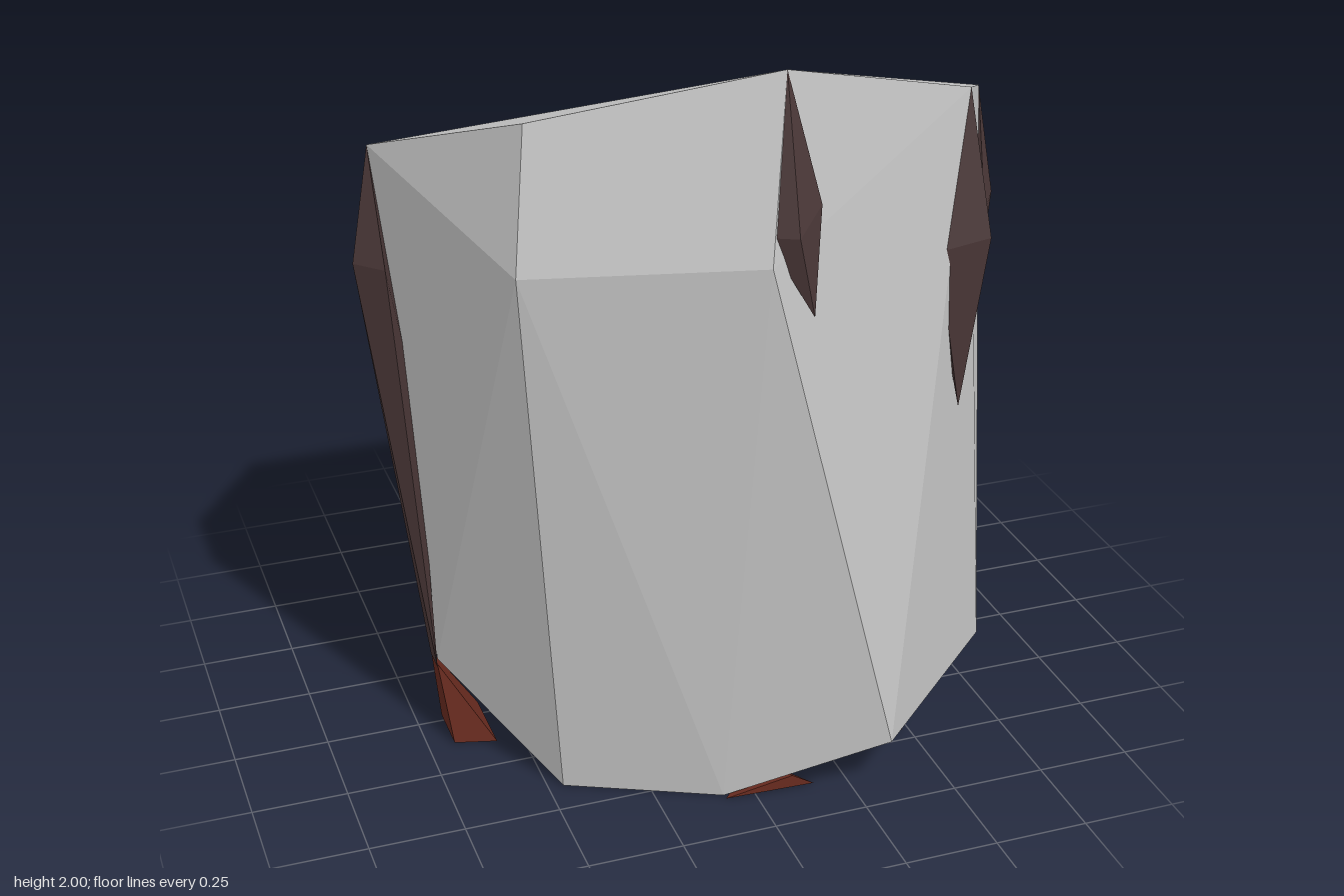
import * as THREE from 'three';
import { ConvexGeometry } from 'three/addons/geometries/ConvexGeometry.js';

export function createModel() {
  const model = new THREE.Group();
  const paint = (name, color) => {
    const m = new THREE.MeshStandardMaterial({ color, flatShading: true });
    m.name = name;
    return m;
  };
  const stone = paint('pale stone', 0xc8c8c8);
  const bark = paint('dark brown', 0x4b3838);
  const rust = paint('rust brown', 0x6a2c20);
  const black = paint('charcoal', 0x242424);

  // Faceted solid spanned by a few corner points
  const solid = (name, material, corners) => {
    const geometry = new ConvexGeometry(corners.map(c => new THREE.Vector3(...c)));
    const mesh = new THREE.Mesh(geometry, material);
    mesh.name = name;
    model.add(mesh);
  };

  // Slanted top rim, clockwise from the front
  const rim = [
    [0.01, 2, 0.7], [0.55, 1.845, 0.53], [0.815, 1.665, 0.04], [0.67, 1.4, -0.56],
    [-0.64, 1.39, -0.54], [-0.81, 1.695, 0.04], [-0.55, 1.875, 0.51],
  ];
  const middle = [[-0.59, 1.52, 0.56], [-0.04, 1.55, 0.762], [-0.71, 1.1, -0.525]];
  const lower = [
    [0.33, 0.16, 0.715], [0.77, 0.16, 0.3], [0.765, 0.235, -0.2], [0.19, 0.24, -0.77],
    [-0.15, 0.355, -0.775], [-0.55, 0.35, -0.64], [-0.7, 0.23, 0.05],
  ];
  const foot = [
    [-0.08, 0, 0.58], [0.53, 0, 0.22], [0.5, 0, -0.52], [-0.57, 0, -0.37], [-0.46, 0, 0.4],
  ];
  solid('body', stone, [...rim, ...middle, ...lower, ...foot]);

  // Long thorns hanging from the rim corners
  solid('frontThorn', bark, [
    rim[0], [-0.05, 1.62, 0.74], [0.09, 1.68, 0.73], [0.02, 1.62, 0.775], [0.07, 1.41, 0.752], [0.02, 1.6, 0.65],
  ]);
  solid('frontLeftThorn', bark, [
    rim[1], [0.465, 1.45, 0.575], [0.62, 1.52, 0.49], [0.59, 1.48, 0.6], [0.55, 1.01, 0.55], [0.5, 1.4, 0.45],
  ]);
  solid('leftThorn', bark, [
    rim[2], [0.8, 1.35, 0.145], [0.82, 1.43, -0.03], [0.86, 1.37, 0.06],
    [0.815, 1.02, -0.05], [0.82, 0.94, 0.06], [0.74, 1.3, 0.04],
  ]);
  solid('backLeftThorn', bark, [
    rim[3], [0.72, 1.15, -0.46], [0.725, 1.13, -0.54], [0.66, 1.2, -0.6], [0.65, 0.8, -0.58],
    [0.68, 0.35, -0.43], [0.65, 0.35, -0.49], [0.58, 0.8, -0.45],
  ]);
  solid('rightThorn', bark, [
    rim[5], [-0.865, 1.4, 0.06], [-0.8, 1.4, 0.13], [-0.82, 1.4, -0.03],
    [-0.71, 0.23, 0.09], [-0.71, 0.23, 0.02], [-0.72, 1, 0.04],
  ]);
  solid('backRightThorn', bark, [
    rim[4], [-0.565, 1.16, -0.6], [-0.72, 1.1, -0.535], [-0.67, 1.15, -0.605], [-0.63, 0.85, -0.6], [-0.58, 1.1, -0.5],
  ]);

  // Rust-coloured root stubs around the foot
  solid('frontRoot', rust, [
    [-0.08, 0.003, 0.6], [0.1, 0.04, 0.61], [0.16, 0.003, 0.61], [0.05, 0.003, 0.45],
  ]);
  solid('frontLeftRoot', rust, [
    [0.26, 0.003, 0.48], [0.27, 0.035, 0.48], [0.46, 0.065, 0.46], [0.5, 0.003, 0.33], [0.48, 0.003, 0.46], [0.3, 0.003, 0.3],
  ]);
  solid('leftRoot', rust, [
    [0.62, 0.003, 0.16], [0.66, 0.11, 0.06], [0.67, 0.1, -0.09], [0.67, 0.003, -0.12], [0.675, 0.003, 0.07], [0.5, 0.003, 0],
  ]);
  solid('rightRoot', rust, [
    [-0.71, 0.24, 0.09], [-0.71, 0.24, 0.02], [-0.68, 0.003, 0.12], [-0.68, 0.003, -0.02], [-0.57, 0.003, 0.15], [-0.57, 0.003, -0.05],
  ]);

  // Charcoal root tips and splinters
  solid('backLeftRoot', black, [
    [0.68, 0.35, -0.43], [0.65, 0.35, -0.49], [0.63, 0.003, -0.28], [0.62, 0.003, -0.4], [0.52, 0.003, -0.52], [0.5, 0.003, -0.35],
  ]);
  solid('backRightRoot', black, [
    [-0.46, 0.003, -0.52], [-0.57, 0.003, -0.45], [-0.54, 0.09, -0.5], [-0.45, 0.07, -0.49], [-0.45, 0.003, -0.35],
  ]);
  solid('leftSplinter', black, [
    [0.775, 0.21, 0.26], [0.81, 0.36, 0.16], [0.79, 0.29, -0.02], [0.74, 0.28, 0.12],
  ]);
  solid('backSplinter', black, [
    [-0.015, 1.1, -0.61], [0.015, 1.1, -0.61], [0, 1.16, -0.6], [0, 1.18, -0.68], [0, 1.13, -0.645],
  ]);
  return model;
}
